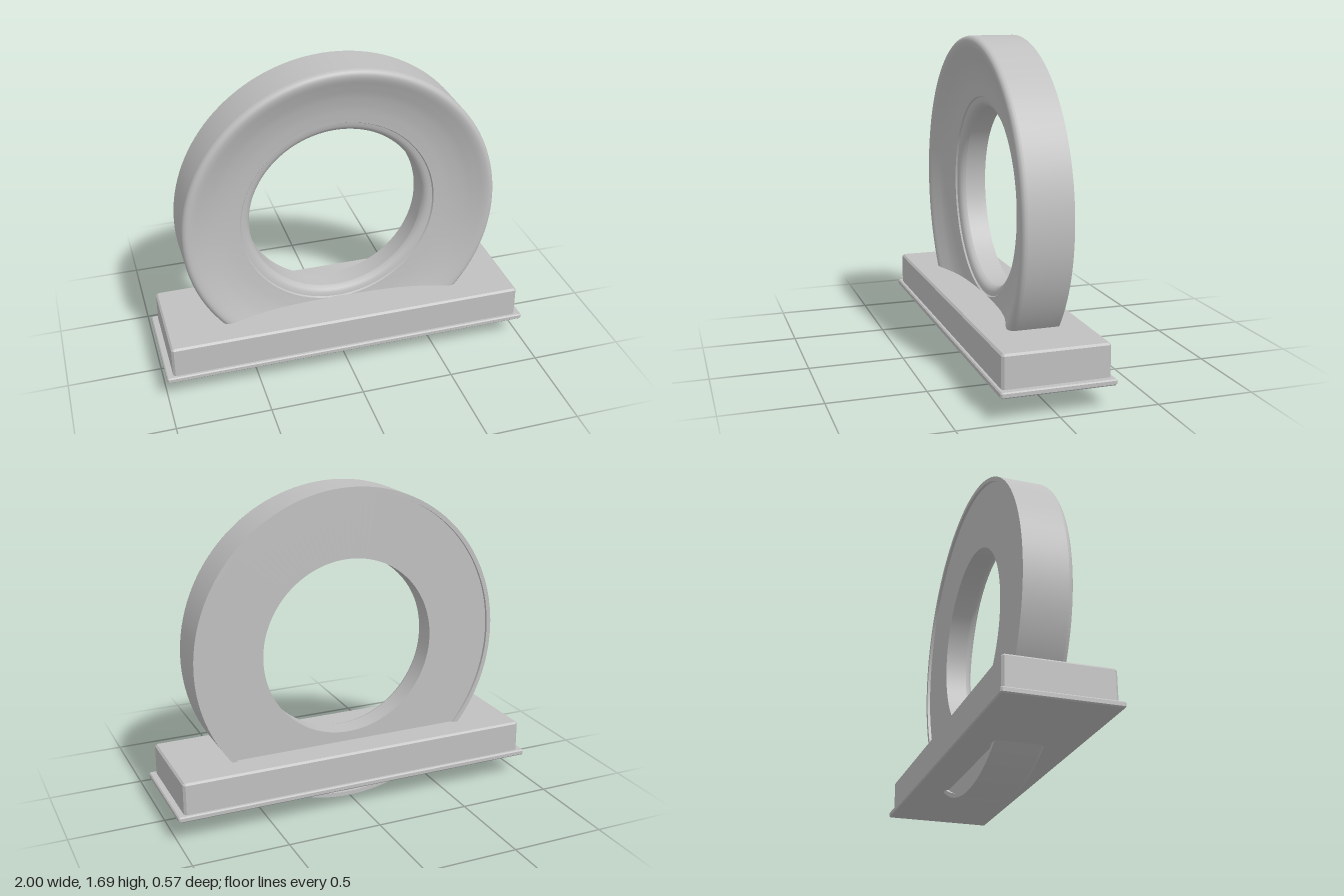
import * as THREE from 'three';

const R = 0.845; // outer radius of the ring, also its centre height

// Ring surface swept around the z axis; points are [radius, z], listed so faces point outward
function sweep(name, points, material) {
  const g = new THREE.LatheGeometry(points.map(([r, z]) => new THREE.Vector2(r, z)), 128);
  g.rotateX(Math.PI / 2);
  const mesh = new THREE.Mesh(g, material);
  mesh.name = name;
  return mesh;
}

// Block with all edges chamfered
function chamferedBlock(name, width, depth, bottom, top, c, material) {
  const x = width / 2 - c, z = depth / 2 - c, k = c * 0.6;
  const shape = new THREE.Shape([
    [-x + k, -z], [x - k, -z], [x, -z + k], [x, z - k],
    [x - k, z], [-x + k, z], [-x, z - k], [-x, -z + k],
  ].map(([a, b]) => new THREE.Vector2(a, b)));
  const g = new THREE.ExtrudeGeometry(shape, {
    depth: top - bottom - 2 * c, bevelEnabled: true,
    bevelSize: c, bevelThickness: c, bevelSegments: 1,
  });
  g.rotateX(-Math.PI / 2).translate(0, bottom + c, 0);
  const mesh = new THREE.Mesh(g, material);
  mesh.name = name;
  return mesh;
}

export function createModel() {
  const model = new THREE.Group();
  model.name = 'ringFrameOnStand';
  const grey = new THREE.MeshStandardMaterial({ color: 0xc0c0c0 });
  grey.name = 'plain grey';

  // Upright ring with a dished front moulding and a recessed back
  const ring = new THREE.Group();
  ring.name = 'ringFrame';
  ring.position.y = R;

  // Moulding runs from the rounded outer rim, down the scoop, to the stepped inner lip
  const scoop = new THREE.SplineCurve([
    [R, 0.105], [0.839, 0.12], [0.822, 0.13], [0.795, 0.126], [0.75, 0.107],
    [0.69, 0.083], [0.62, 0.064], [0.56, 0.054], [0.53, 0.05],
  ].map(([r, z]) => new THREE.Vector2(r, z))).getPoints(40).map((p) => [p.x, p.y]);

  ring.add(
    sweep('backPanel', [[0.475, -0.11], [0.822, -0.11]], grey),
    sweep('backRecessWall', [[0.822, -0.11], [0.822, -0.125]], grey),
    sweep('backLip', [[0.822, -0.125], [R, -0.125]], grey),
    sweep('outerWall', [[R, -0.125], [R, 0.105]], grey),
    sweep('frontMoulding', scoop, grey),
    sweep('innerStep', [[0.53, 0.05], [0.525, 0.041]], grey),
    sweep('innerLip', [[0.525, 0.041], [0.505, 0.038], [0.49, 0.03], [0.48, 0.018], [0.475, 0.004]], grey),
    sweep('holeWall', [[0.475, 0.004], [0.475, -0.11]], grey),
  );
  model.add(ring);

  // Long stand that the ring passes through
  model.add(
    chamferedBlock('standBody', 1.93, 0.54, 0.14, 0.318, 0.01, grey),
    chamferedBlock('standFlange', 2, 0.575, 0.12, 0.15, 0.006, grey),
  );
  return model;
}
